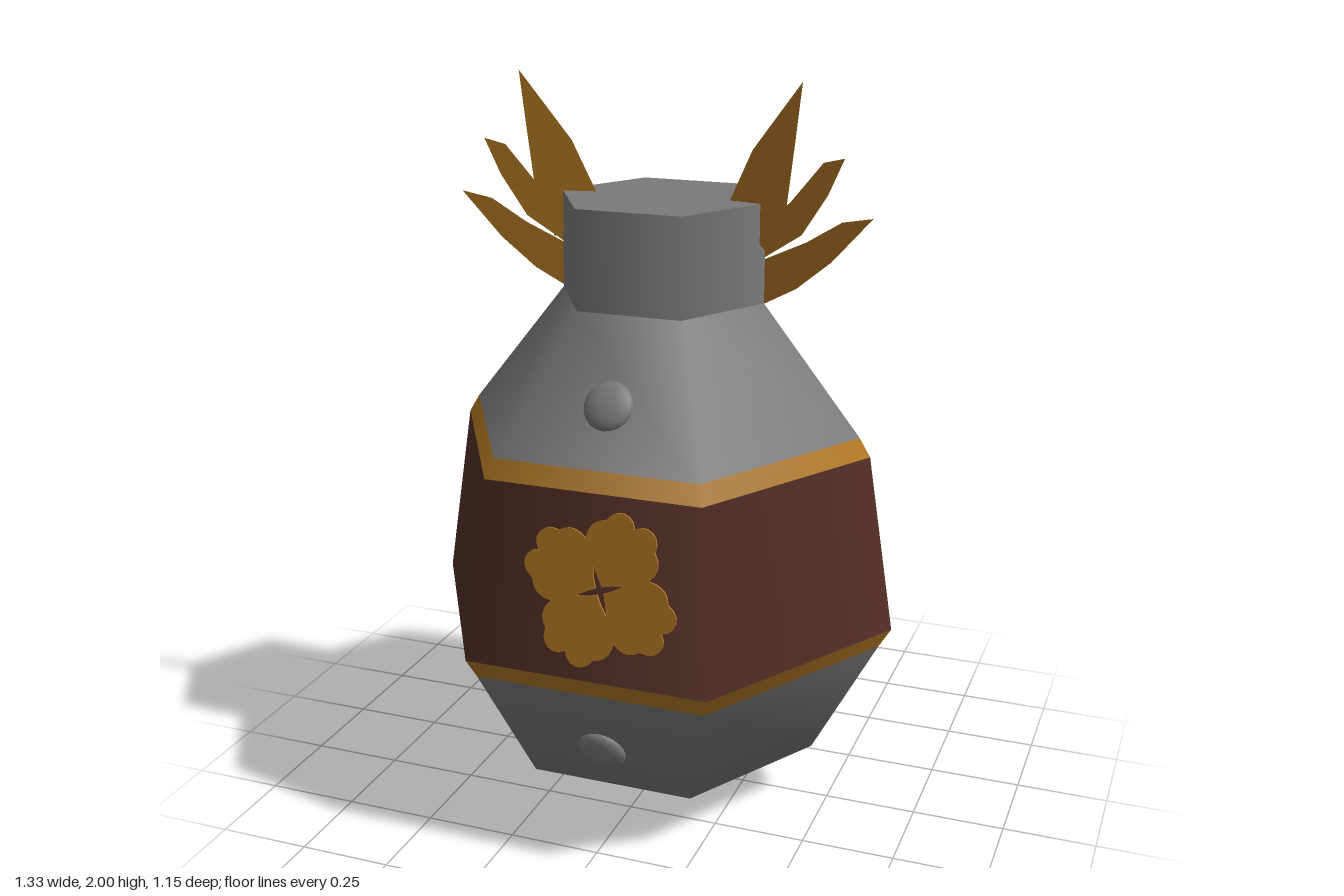
import * as THREE from 'three';

const mat = (name, color, side = THREE.FrontSide) => {
  const m = new THREE.MeshStandardMaterial({ color, side });
  m.name = name;
  return m;
};

export function createModel() {
  const group = new THREE.Group();
  const grey = mat('grey metal', 0x7a7a7a);
  const brown = mat('brown leather', 0x532f26);
  const gold = mat('gold', 0xae7622, THREE.DoubleSide);

  const add = (name, geometry, material, parent = group) => {
    const mesh = new THREE.Mesh(geometry, material);
    mesh.name = name;
    parent.add(mesh);
    return mesh;
  };

  // Six-sided rings with corners on the x axis, profile from bottom to top
  const ring = (name, profile, material) => add(name, new THREE.LatheGeometry(
    profile.map(([r, y]) => new THREE.Vector2(r, y)), 6, Math.PI / 2), material);

  ring('lowerBody', [[0, 0], [0.45, 0.15], [0.63, 0.49]], grey);
  ring('lowerTrim', [[0.63, 0.49], [0.663, 0.545]], gold);
  ring('band', [[0.663, 0.545], [0.585, 1.03]], brown);
  ring('upperTrim', [[0.585, 1.03], [0.555, 1.08]], gold);
  ring('shoulder', [[0.555, 1.08], [0.285, 1.42]], grey);
  ring('neck', [[0.285, 1.42], [0.285, 1.685]], grey);

  // Flat lid
  const lid = add('lid', new THREE.CircleGeometry(0.285, 6), grey);
  lid.rotation.x = -Math.PI / 2;
  lid.position.y = 1.685;

  // Shallow round studs on the sloped front faces
  const stud = (name, y, z, tilt) => {
    const mesh = add(name, new THREE.SphereGeometry(0.066, 16, 10), grey);
    mesh.scale.z = 0.4;
    mesh.rotation.x = tilt;
    mesh.position.set(0, y, z);
  };
  stud('upperStud', 1.22, 0.385, -0.6);
  stud('lowerStud', 0.285, 0.452, 0.43);

  // Four-leaf clover lying on the front of the band
  const leaf = new THREE.Shape();
  leaf.moveTo(0.012, 0);
  leaf.bezierCurveTo(0.05, 0.035, 0.06, 0.1, 0.115, 0.102);
  leaf.bezierCurveTo(0.15, 0.105, 0.16, 0.085, 0.168, 0.075);
  leaf.bezierCurveTo(0.215, 0.07, 0.225, 0.02, 0.19, 0);
  leaf.bezierCurveTo(0.225, -0.02, 0.215, -0.07, 0.168, -0.075);
  leaf.bezierCurveTo(0.16, -0.085, 0.15, -0.105, 0.115, -0.102);
  leaf.bezierCurveTo(0.06, -0.1, 0.05, -0.035, 0.012, 0);
  const leafGeometry = new THREE.ExtrudeGeometry(leaf, { depth: 0.006, bevelEnabled: false, curveSegments: 6 });
  const clover = new THREE.Group();
  clover.name = 'clover';
  clover.position.set(0.037, 0.787, 0.543);
  clover.rotation.x = -0.138;
  group.add(clover);
  for (let i = 0; i < 4; i++) {
    add('cloverLeaf', leafGeometry, gold, clover).rotation.z = 1.1 + i * Math.PI / 2;
  }

  // Feather outlines in x, y, each leaning forward from z0 at x0 by a slope
  const feathers = [
    { x0: 0.19, z0: 0, slope: 0.2, points: [[0.386, 2], [0.25, 1.82], [0.185, 1.68],
      [0.22, 1.62], [0.3, 1.56], [0.35, 1.69], [0.368, 1.84]] },
    { x0: 0.26, z0: -0.01, slope: 0.17, points: [[0.497, 1.815], [0.44, 1.8], [0.35, 1.69],
      [0.26, 1.62], [0.28, 1.54], [0.385, 1.61], [0.455, 1.72]] },
    { x0: 0.28, z0: -0.015, slope: 0.12, points: [[0.573, 1.667], [0.49, 1.65], [0.395, 1.59],
      [0.27, 1.53], [0.28, 1.415], [0.37, 1.465], [0.465, 1.545]] },
  ];
  for (const side of [1, -1]) {
    const wing = new THREE.Group();
    wing.name = side > 0 ? 'leftWing' : 'rightWing';
    group.add(wing);
    for (const { x0, z0, slope, points } of feathers) {
      const outline = new THREE.Shape(points.map(([x, y]) => new THREE.Vector2(x * side, y)));
      const geometry = new THREE.ShapeGeometry(outline);
      const pos = geometry.attributes.position;
      for (let i = 0; i < pos.count; i++) {
        pos.setZ(i, z0 + (Math.abs(pos.getX(i)) - x0) * slope);
      }
      geometry.computeVertexNormals();
      add('feather', geometry, gold, wing);
    }
  }

  return group;
}
